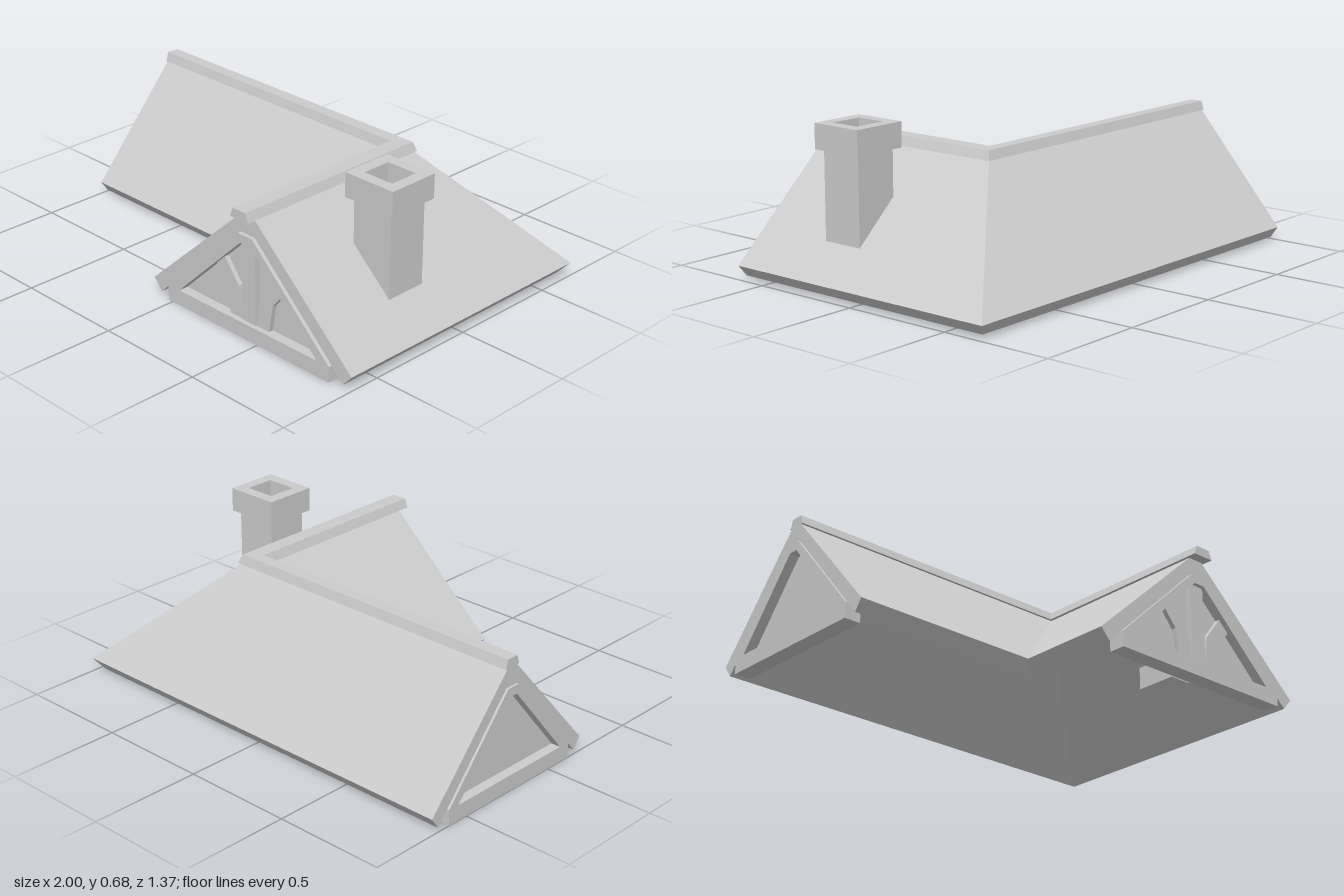
import * as THREE from 'three';

const grey = new THREE.MeshStandardMaterial({ color: 0xcccccc, flatShading: true });
const RIDGE_X = 0.435, RIDGE_Z = -0.235; // ridge corner in plan
const HALF_X = 0.565, HALF_Z = 0.451;    // half widths of the two wings

function add(parent, geometry, name, x = 0, y = 0, z = 0) {
  const mesh = new THREE.Mesh(geometry, grey);
  mesh.name = name;
  mesh.position.set(x, y, z);
  parent.add(mesh);
  return mesh;
}

// Sweep a symmetric closed profile [t, y] around the mitred L of the two ridges.
function sweepL(profile, startX, endZ) {
  const rings = [
    profile.map(([t, y]) => [startX, y, RIDGE_Z + HALF_Z * t]),
    profile.map(([t, y]) => [RIDGE_X - HALF_X * t, y, RIDGE_Z + HALF_Z * t]),
    profile.map(([t, y]) => [RIDGE_X - HALF_X * t, y, endZ]),
  ];
  const n = profile.length, pos = [];
  const quad = (a, b, c, d) => pos.push(...a, ...b, ...c, ...a, ...c, ...d);
  for (let s = 0; s < 2; s++) {
    for (let i = 0; i < n; i++) {
      const j = (i + 1) % n;
      quad(rings[s][i], rings[s][j], rings[s + 1][j], rings[s + 1][i]);
    }
  }
  // end faces
  for (let i = 0; i < n / 2 - 1; i++) {
    const k = [i, i + 1, n - 2 - i, n - 1 - i];
    quad(...k.map((m) => rings[2][m]));
    quad(...k.reverse().map((m) => rings[0][m]));
  }
  const g = new THREE.BufferGeometry();
  g.setAttribute('position', new THREE.Float32BufferAttribute(pos, 3));
  g.computeVertexNormals();
  return g;
}

const outline = (pts) => new THREE.Shape(pts.map(([x, y]) => new THREE.Vector2(x, y)));
const mirrored = (pts) => [...pts, ...pts.map(([x, y]) => [-x, y]).reverse()];
const rectangle = (w, d) => outline([[-w, -d], [w, -d], [w, d], [-w, d]]);
const extrude = (shape, depth) => new THREE.ExtrudeGeometry(shape, { depth, bevelEnabled: false });

// Extrusion whose back face is left open.
function extrudeOpen(shape, depth) {
  const p = extrude(shape, depth).getAttribute('position').array;
  const kept = [];
  for (let i = 0; i < p.length; i += 9) {
    if (p[i + 2] + p[i + 5] + p[i + 8] > 1e-6) kept.push(...p.slice(i, i + 9));
  }
  const g = new THREE.BufferGeometry();
  g.setAttribute('position', new THREE.Float32BufferAttribute(kept, 3));
  g.computeVertexNormals();
  return g;
}

// Gable frame, open behind, with a recessed panel; w scales the width.
function gable(w, name) {
  const group = new THREE.Group();
  group.name = name;
  const scale = (pts) => mirrored(pts.map(([x, y]) => [x * w, y]));
  const opening = scale([[0.393, 0.069], [0.027, 0.42]]);
  const frame = outline(scale([[0.46, 0], [0.46, 0.069], [0.04, 0.459]]));
  frame.holes.push(outline(opening));
  add(group, extrudeOpen(frame, 0.074), 'gableFrame');
  add(group, extrude(outline(opening), 0.02), 'gablePanel', 0, 0, 0.01);
  return group;
}

export function createModel() {
  const model = new THREE.Group();
  model.name = 'roof';

  // Roof slab and ridge capping
  add(model, sweepL([
    [-1, 0.06], [-0.065, 0.54], [0.065, 0.54], [1, 0.06],
    [0.922, 0.01], [0.07, 0.46], [-0.07, 0.46], [-0.922, 0.01],
  ], -0.99, 0.641), 'roofSlab');
  add(model, sweepL([
    [-0.09, 0.54], [-0.062, 0.58], [0.062, 0.58], [0.09, 0.54],
  ], -0.99, 0.686), 'ridgeCap');

  // Front gable with a king post and two curved braces
  const front = gable(1, 'frontGable');
  front.position.set(RIDGE_X, 0, 0.583);
  model.add(front);
  const post = outline(mirrored([[0.038, 0.069], [0.038, 0.41], [0.027, 0.42]]));
  add(front, extrude(post, 0.04), 'kingPost', 0, 0, 0.015);
  for (const s of [1, -1]) {
    const brace = outline([
      [0.11, 0.069], [0.13, 0.19], [0.19, 0.263],
      [0.14, 0.311], [0.062, 0.21], [0.038, 0.069],
    ].map(([x, y]) => [s * x, y]));
    add(front, extrude(brace, 0.035), s > 0 ? 'leftBrace' : 'rightBrace', 0, 0, 0.015);
  }

  // Side gable, plain
  const side = gable(0.365 / 0.46, 'sideGable');
  side.position.set(-0.926, 0, RIDGE_Z);
  side.rotation.y = -Math.PI / 2;
  model.add(side);

  // Chimney: shaft, open below, and hollow square cap
  const chimney = new THREE.Group();
  chimney.name = 'chimney';
  chimney.position.set(0.753, 0, 0.182);
  chimney.rotation.x = -Math.PI / 2;
  model.add(chimney);
  add(chimney, extrudeOpen(rectangle(0.098, 0.095), 0.386), 'chimneyShaft', 0, 0, 0.189);
  const cap = rectangle(0.125, 0.119);
  cap.holes.push(rectangle(0.072, 0.067));
  add(chimney, extrude(cap, 0.107), 'chimneyCap', 0, 0, 0.573);

  return model;
}
